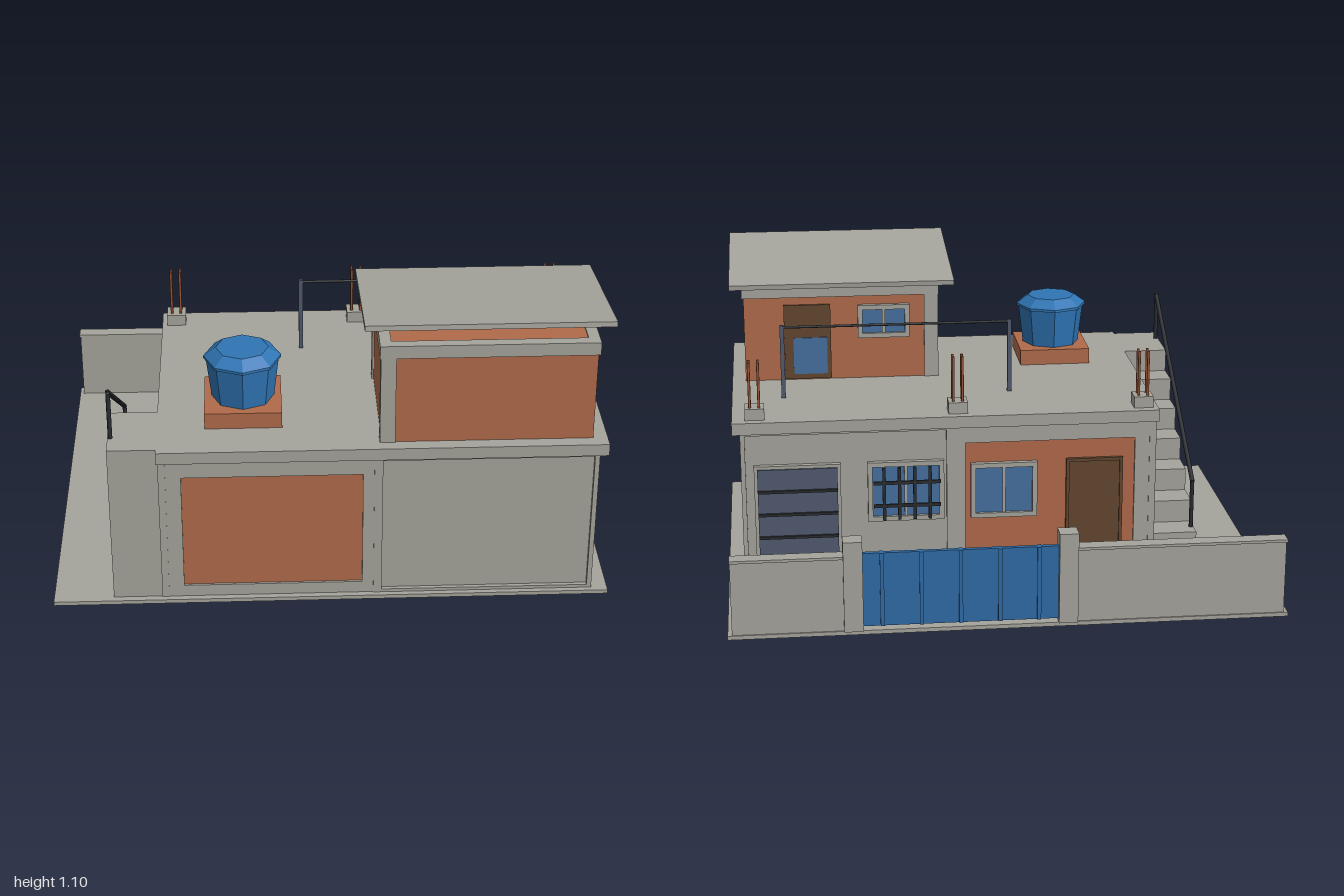
import * as THREE from 'three';

const mat = (name, hex) => {
  const m = new THREE.MeshStandardMaterial({ color: hex });
  m.name = name;
  return m;
};

export function createModel() {
  const concrete = mat('concrete', 0xa5a49c);
  const brick = mat('brick', 0xb06a4a);
  const tankBlue = mat('tank blue', 0x2f75b5);
  const gateBlue = mat('gate blue', 0x2f6ba6);
  const glass = mat('glass', 0x456f9f);
  const slate = mat('slate metal', 0x505a6e);
  const brown = mat('brown wood', 0x62472f);
  const black = mat('black iron', 0x2a2c30);
  const rust = mat('rusty steel', 0x9a5636);

  const root = new THREE.Group();
  root.name = 'house';

  // Box given by its extents on each axis
  const box = (name, m, x0, x1, y0, y1, z0, z1, parent = root) => {
    const mesh = new THREE.Mesh(new THREE.BoxGeometry(x1 - x0, y1 - y0, z1 - z0), m);
    mesh.position.set((x0 + x1) / 2, (y0 + y1) / 2, (z0 + z1) / 2);
    mesh.name = name;
    parent.add(mesh);
    return mesh;
  };
  // Round bar between two points
  const bar = (name, m, a, b, r, parent = root) => {
    const p = new THREE.Vector3(...a), q = new THREE.Vector3(...b);
    const mesh = new THREE.Mesh(new THREE.CylinderGeometry(r, r, p.distanceTo(q), 8), m);
    mesh.position.copy(p).lerp(q, 0.5);
    mesh.quaternion.setFromUnitVectors(new THREE.Vector3(0, 1, 0), q.sub(p).normalize());
    mesh.name = name;
    parent.add(mesh);
    return mesh;
  };
  const group = (name) => {
    const g = new THREE.Group();
    g.name = name;
    root.add(g);
    return g;
  };
  // Rectangular frame in the xy plane
  const frame = (name, m, x0, x1, y0, y1, z0, z1, t, parent) => {
    box(name, m, x0, x0 + t, y0, y1, z0, z1, parent);
    box(name, m, x1 - t, x1, y0, y1, z0, z1, parent);
    box(name, m, x0 + t, x1 - t, y0, y0 + t, z0, z1, parent);
    box(name, m, x0 + t, x1 - t, y1 - t, y1, z0, z1, parent);
  };
  // Two-pane window facing -z, standing on wall plane z
  const backWindow = (name, x0, x1, y0, y1, z) => {
    const g = group(name), mid = (x0 + x1) / 2;
    frame('windowFrame', concrete, x0, x1, y0, y1, z - 0.02, z, 0.018, g);
    box('windowMullion', concrete, mid - 0.006, mid + 0.006, y0 + 0.018, y1 - 0.018, z - 0.016, z, g);
    box('windowGlass', glass, x0 + 0.018, x1 - 0.018, y0 + 0.018, y1 - 0.018, z - 0.008, z, g);
    return g;
  };

  // Ground slab
  box('ground', concrete, -1, 1, 0, 0.015, -0.8, 0.8);

  // Ground floor: core, corner columns, beams
  box('groundFloorCore', concrete, -0.6, 0.935, 0.015, 0.58, -0.235, 0.765);
  for (const z of [-0.25, 0.755]) {
    for (const [x0, x1] of [[-0.61, -0.585], [0.15, 0.18], [0.925, 0.942]])
      box('column', concrete, x0, x1, 0.015, 0.58, z, z + 0.025);
    box('topBeam', concrete, -0.585, 0.925, 0.565, 0.58, z, z + 0.025);
    box('footBeam', concrete, 0.18, 0.925, 0.015, 0.027, z, z + 0.025);
  }
  box('sideTopBeam', concrete, 0.925, 0.942, 0.568, 0.58, -0.225, 0.755);
  box('sideFootBeam', concrete, 0.925, 0.942, 0.015, 0.027, -0.225, 0.755);

  // Brick bay on both faces, set inside a plaster surround
  for (const [z0, z1, p0, p1] of [[0.765, 0.777, 0.765, 0.768], [-0.247, -0.235, -0.238, -0.235]]) {
    const s = new THREE.Shape();
    s.moveTo(-0.585, 0.015).lineTo(0.15, 0.015).lineTo(0.15, 0.565).lineTo(-0.585, 0.565).closePath();
    const h = new THREE.Path();
    h.moveTo(-0.53, 0.06).lineTo(-0.53, 0.51).lineTo(0.11, 0.51).lineTo(0.11, 0.06).closePath();
    s.holes.push(h);
    const surround = new THREE.Mesh(
      new THREE.ExtrudeGeometry(s, { depth: z1 - z0, bevelEnabled: false }), concrete);
    surround.position.z = z0;
    surround.name = 'baySurround';
    root.add(surround);
    box('brickPanel', brick, -0.53, 0.11, 0.06, 0.51, p0, p1);
  }

  // Roof slab
  box('roofSlab', concrete, -0.615, 0.97, 0.58, 0.625, -0.28, 0.8);

  // Metal door with ribs
  const metalDoor = group('metalDoor');
  frame('metalDoorFrame', concrete, 0.575, 0.895, 0.015, 0.447, -0.255, -0.235, 0.012, metalDoor);
  box('metalDoorLeaf', slate, 0.587, 0.883, 0.027, 0.435, -0.262, -0.235, metalDoor);
  for (let i = 0; i < 4; i++) {
    const y = 0.08 + i * 0.09;
    box('metalDoorRib', black, 0.587, 0.883, y - 0.005, y + 0.005, -0.272, -0.26, metalDoor);
  }

  // Ground floor windows, the first with a grille
  const barred = backWindow('barredWindow', 0.19, 0.475, 0.215, 0.447, -0.235);
  for (let i = 0; i < 4; i++) {
    const x = 0.245 + i * 0.057;
    box('grilleUpright', black, x - 0.006, x + 0.006, 0.23, 0.435, -0.285, -0.275, barred);
  }
  for (const y of [0.285, 0.375])
    box('grilleRail', black, 0.205, 0.455, y - 0.006, y + 0.006, -0.284, -0.274, barred);
  for (const x of [0.245, 0.416]) for (const y of [0.285, 0.375])
    box('grilleBracket', black, x - 0.004, x + 0.004, y - 0.004, y + 0.004, -0.275, -0.235, barred);
  backWindow('plainWindow', -0.16, 0.09, 0.215, 0.43, -0.238);

  // Wooden door
  frame('doorFrame', brown, -0.485, -0.27, 0.02, 0.435, -0.252, -0.236, 0.012, root);
  box('woodenDoor', brown, -0.473, -0.282, 0.03, 0.425, -0.246, -0.236);

  // Outside stair with landing
  const stairs = group('stairs');
  const starts = [-0.2, -0.083, 0.035, 0.153, 0.27, 0.388, 0.505, 0.775];
  for (let i = 0; i < 7; i++)
    box('step', concrete, -0.785, -0.61, 0.015, 0.015 + (i + 1) * 0.0871, starts[i], starts[i + 1], stairs);
  bar('handrailPost', black, [-0.775, 0.1, -0.14], [-0.775, 0.29, -0.14], 0.008, stairs);
  bar('handrailPost', black, [-0.775, 0.62, 0.685], [-0.775, 0.815, 0.685], 0.008, stairs);
  bar('handrail', black, [-0.775, 0.287, -0.146], [-0.775, 0.812, 0.691], 0.009, stairs);

  // Upper room
  box('upperWalls', brick, 0.175, 0.918, 0.625, 0.998, 0.255, 0.75);
  for (const z of [0.247, 0.715]) {
    box('upperColumn', concrete, 0.168, 0.222, 0.625, 0.955, z, z + 0.04);
    box('upperBeam', concrete, 0.165, 0.925, 0.955, 1.003, z, z + 0.04);
  }
  for (const x of [0.165, 0.885])
    box('upperSideBeam', concrete, x, x + 0.04, 0.955, 1.003, 0.287, 0.715);
  box('upperDoor', brown, 0.585, 0.765, 0.63, 0.925, 0.246, 0.256);
  box('upperDoorPanel', glass, 0.6, 0.73, 0.65, 0.795, 0.242, 0.25);
  backWindow('upperWindow', 0.28, 0.48, 0.79, 0.92, 0.255);

  // Sloping roof sheet
  const roof = box('slopingRoof', concrete, 0.11, 0.97, 1.041, 1.06, 0.18, 0.782);
  roof.rotation.x = -0.117;

  // Water tank on a brick plinth
  const tank = group('waterTank');
  box('tankPlinth', brick, -0.445, -0.17, 0.625, 0.685, 0.355, 0.635, tank);
  const round = (name, rt, rb, y0, y1) => {
    const m = new THREE.Mesh(new THREE.CylinderGeometry(rt, rb, y1 - y0, 8).toNonIndexed(), tankBlue);
    m.geometry.computeVertexNormals();
    m.position.set(-0.307, (y0 + y1) / 2, 0.495);
    m.name = name;
    tank.add(m);
  };
  round('tankBody', 0.13, 0.112, 0.685, 0.835);
  round('tankRim', 0.138, 0.138, 0.835, 0.845);
  round('tankLid', 0.094, 0.138, 0.845, 0.877);

  // Column stubs with bare reinforcement
  for (const x of [-0.56, 0.135, 0.885]) {
    const g = group('columnStub');
    box('stubBase', concrete, x - 0.036, x + 0.036, 0.625, 0.668, -0.246, -0.174, g);
    for (const dx of [-0.017, 0.017]) for (const dz of [-0.017, 0.017])
      bar('reinforcingBar', rust, [x + dx, 0.66, -0.21 + dz], [x + dx, 0.84, -0.21 + dz], 0.005, g);
  }

  // Clothes line
  const line = group('clothesLine');
  for (const x of [-0.085, 0.775])
    box('linePost', slate, x - 0.008, x + 0.008, 0.625, 0.908, 0.017, 0.033, line);
  bar('lineBar', black, [-0.085, 0.9, 0.025], [0.775, 0.9, 0.025], 0.005, line);

  // Street wall, pillars and gate
  for (const [x0, x1] of [[-0.985, -0.235], [0.59, 0.985]]) {
    box('streetWall', concrete, x0, x1, 0.015, 0.29, -0.795, -0.75);
    box('wallCoping', concrete, x0 - 0.004, x1 + 0.002, 0.285, 0.295, -0.8, -0.745);
  }
  for (const x of [-0.203, 0.558])
    box('gatePillar', concrete, x - 0.034, x + 0.034, 0.015, 0.352, -0.81, -0.742);
  const gate = group('gate');
  box('gatePanel', gateBlue, -0.17, 0.525, 0.025, 0.3, -0.785, -0.768, gate);
  for (let i = 0; i < 5; i++) {
    const x = -0.1 + i * 0.139;
    box('gateRib', gateBlue, x - 0.007, x + 0.007, 0.025, 0.3, -0.791, -0.762, gate);
  }

  // Loose blocks in the yard
  box('looseBlock', concrete, -0.53, -0.37, 0.015, 0.056, -0.558, -0.452).rotation.y = 0.25;
  box('looseBlock', concrete, -0.35, -0.27, 0.015, 0.05, -0.587, -0.537).rotation.y = -0.2;

  return root;
}
